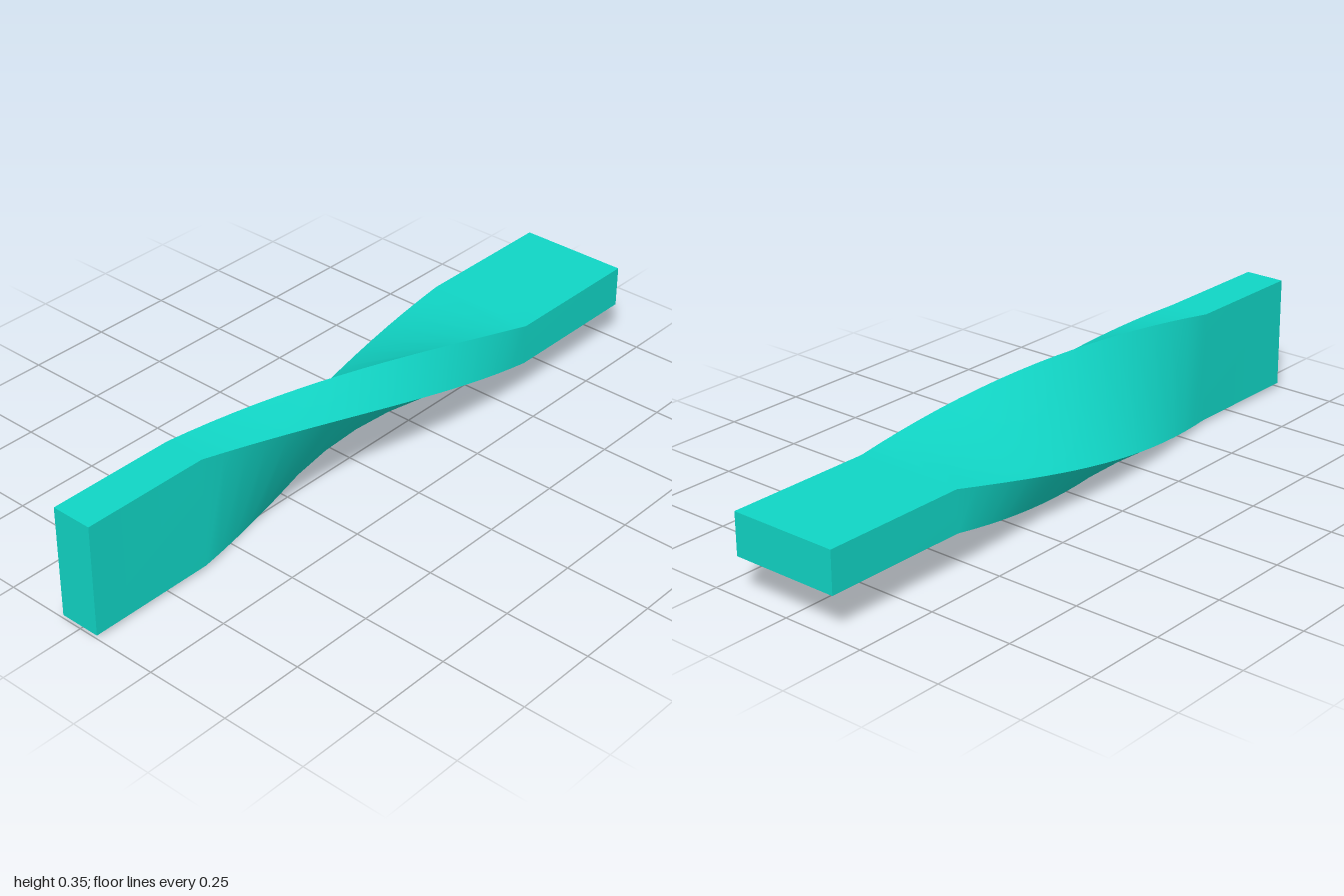
import * as THREE from 'three';

const THICK = 0.122, WIDE = 0.329, CENTRE_Y = 0.176;
const TWIST_START = -0.62, TWIST_END = 0.56, STEPS = 18;

export function createModel() {
  const teal = new THREE.MeshStandardMaterial({ color: 0x10d5c5 });
  teal.name = 'teal';

  // Flat bar with a quarter twist about its length between two straight ends
  const geometry = new THREE.BoxGeometry(STEPS + 2, WIDE, THICK, STEPS + 2, 1, 1);
  const p = geometry.attributes.position;
  for (let i = 0; i < p.count; i++) {
    const ring = Math.round(p.getX(i) + (STEPS + 2) / 2);
    const t = THREE.MathUtils.clamp((ring - 1) / STEPS, 0, 1);
    let x = THREE.MathUtils.lerp(TWIST_START, TWIST_END, t);
    if (ring === 0) x = -1;
    if (ring === STEPS + 2) x = 1;

    // Turn the section so the top edge swings round to the front
    const a = t * Math.PI / 2, y = p.getY(i), z = p.getZ(i);
    p.setXYZ(i, x, y * Math.cos(a) - z * Math.sin(a), y * Math.sin(a) + z * Math.cos(a));
  }
  // Sides have separate vertices, so long edges stay sharp and faces smooth
  geometry.computeVertexNormals();

  const bar = new THREE.Mesh(geometry, teal);
  bar.name = 'twistedBar';
  bar.position.y = CENTRE_Y;

  const group = new THREE.Group();
  group.name = 'twistedFlatBar';
  group.add(bar);
  return group;
}
